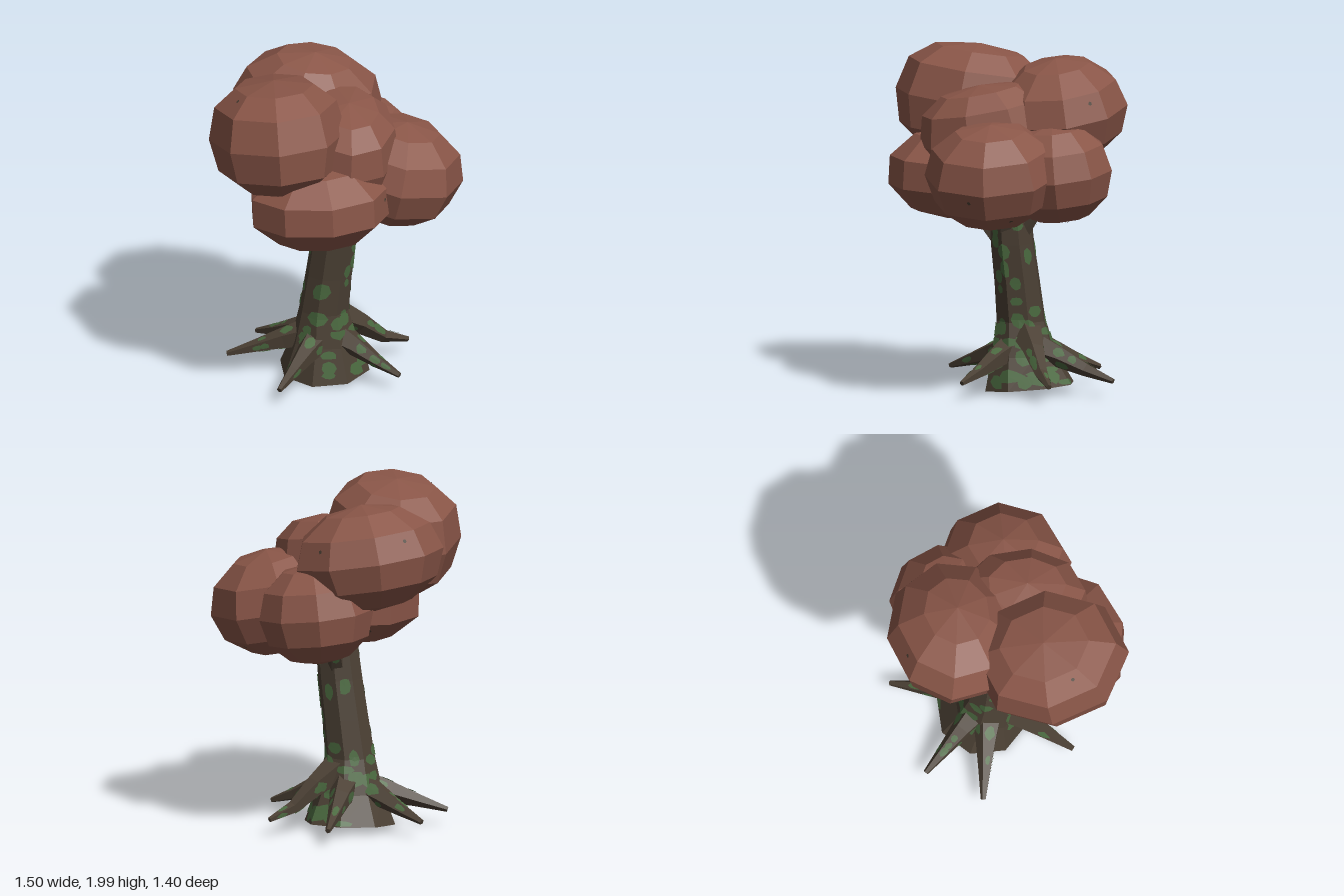
import * as THREE from 'three';
import { mergeGeometries } from 'three/addons/utils/BufferGeometryUtils.js';

const V = (x, y, z) => new THREE.Vector3(x, y, z);
const UP = V(0, 1, 0);

// Small seeded generator for moss and specks
let seed = 7;
const rand = () => {
  seed = (seed * 16807) % 2147483647;
  return seed / 2147483647;
};

function fromTriangles(points) {
  const g = new THREE.BufferGeometry().setFromPoints(points);
  g.computeVertexNormals(); // unshared corners give flat facets
  return g;
}

// Faceted open-ended tube from rings {c: centre, r: radius, d: axis}, with a surface lookup for moss
function loft(rings, sides, tilt = null) {
  const grid = rings.map(({ c, r, d }, j) => {
    const u = d.y > 0.999 ? V(0, 0, 1) : new THREE.Vector3().crossVectors(UP, d).normalize();
    const v = new THREE.Vector3().crossVectors(d, u);
    return Array.from({ length: sides }, (_, i) => {
      const a = ((i + 0.5) / sides) * Math.PI * 2;
      const p = c.clone().addScaledVector(u, r * Math.cos(a)).addScaledVector(v, r * Math.sin(a));
      if (tilt && j === 0) p.y += tilt(p.x - c.x, p.z - c.z);
      return p;
    });
  });
  const tris = [];
  const last = rings.length - 1;
  for (let i = 0; i < sides; i++) {
    const k = (i + 1) % sides;
    for (let j = 0; j < last; j++) {
      const a = grid[j][i], b = grid[j][k], c = grid[j + 1][k], d = grid[j + 1][i];
      tris.push(a, b, c, a, c, d);
    }
    tris.push(rings[last].c, grid[last][i], grid[last][k]);
  }
  // Point on the facets at side s and ring t, lifted off the surface
  const at = (s, t, lift) => {
    const j = Math.min(Math.max(Math.floor(t), 0), last - 1), f = t - j;
    const i = Math.floor(s), e = s - i;
    const pick = (row) => row[((i % sides) + sides) % sides].clone()
      .lerp(row[(((i + 1) % sides) + sides) % sides], e);
    const p = pick(grid[j]).lerp(pick(grid[j + 1]), f);
    const axis = rings[j].c.clone().lerp(rings[j + 1].c, f);
    return p.addScaledVector(p.clone().sub(axis).normalize(), lift);
  };
  return { geometry: fromTriangles(tris), at };
}

// Irregular thin moss patch on a loft, showing on both faces of the bark
function mossPatch(at, s, t, w, h) {
  const n = 8, tris = [];
  const rim = Array.from({ length: n }, (_, i) => {
    const a = (i / n) * Math.PI * 2, k = 0.65 + 0.35 * rand();
    return [s + Math.cos(a) * w * k, t + (i % 4 === 0 ? 0 : Math.sin(a)) * h * k];
  });
  for (const lift of [0.005, -0.004]) {
    const mid = at(s, t, lift), edge = rim.map(([a, b]) => at(a, b, lift));
    edge.forEach((p, i) => tris.push(mid, p, edge[(i + 1) % n]));
  }
  return fromTriangles(tris);
}

// Limb along a few points, tapering through the given radii
function limb(points, radii, sides) {
  return loft(points.map((c, i) => {
    const a = points[Math.max(i - 1, 0)], b = points[Math.min(i + 1, points.length - 1)];
    return { c, r: radii[i], d: b.clone().sub(a).normalize() };
  }), sides);
}

// Many-sided clump of leaves; a lower power gives squarer shoulders
function clump(sides, rows, power, r, tiltX, tiltZ, turn) {
  const bend = (v) => Math.sign(v) * Math.abs(v) ** power;
  const profile = Array.from({ length: rows + 1 }, (_, i) => {
    const a = (i / rows - 0.5) * Math.PI;
    return new THREE.Vector2(Math.max(bend(Math.cos(a)), 0.001), bend(Math.sin(a)));
  });
  const g = new THREE.LatheGeometry(profile, sides).toNonIndexed();
  g.rotateY(turn).scale(...r).rotateX(tiltX).rotateZ(tiltZ);
  g.computeVertexNormals();
  return g;
}

// Tiny flat speck on a random facet of a clump
function speck(g) {
  const p = g.attributes.position, k = Math.floor(rand() * (p.count / 3)) * 3;
  const tri = new THREE.Triangle().setFromAttributeAndIndices(p, k, k + 1, k + 2);
  const normal = tri.getNormal(V(0, 0, 0));
  const centre = tri.getMidpoint(V(0, 0, 0)).addScaledVector(normal, 0.004);
  const turn = new THREE.Quaternion().setFromUnitVectors(V(0, 0, 1), normal);
  return new THREE.CircleGeometry(0.012, 6).applyQuaternion(turn).translate(...centre);
}

export function createModel() {
  const material = (name, color, side = THREE.FrontSide) => {
    const m = new THREE.MeshStandardMaterial({ color, side });
    m.name = name;
    return m;
  };
  const leafMat = material('russet leaves', 0x8a5648);
  const barkMat = material('brown bark', 0x4b4034, THREE.DoubleSide);
  const mossMat = material('green moss', 0x4a693f, THREE.DoubleSide);

  const tree = new THREE.Group();
  tree.name = 'tree';
  const add = (name, geometry, mat) => {
    const m = new THREE.Mesh(geometry, mat);
    m.name = name;
    tree.add(m);
    return m;
  };

  // Trunk: leaning eight-sided column, hollow and flared at the foot; rows are y, x, z, radius
  const trunk = loft([
    [0.03, -0.035, -0.13, 0.27],
    [0.22, -0.04, -0.1, 0.195],
    [0.42, -0.045, -0.08, 0.148],
    [0.65, -0.02, -0.06, 0.138],
    [0.88, 0.005, -0.035, 0.132],
    [1.1, 0.025, -0.02, 0.125],
    [1.35, 0.04, 0, 0.09],
  ].map(([y, x, z, r]) => ({ c: V(x, y, z), r, d: UP })), 8, (x, z) => x * 0.04 - z * 0.09);
  add('trunk', trunk.geometry, barkMat);

  // Moss on the trunk, thickest low down and on the front left side
  const moss = [];
  for (let i = 0; i < 60; i++) {
    const onEdge = rand() < 0.4;
    const side = (i % 3 ? Math.floor(rand() * 8) : Math.floor(rand() * 3)) + (onEdge ? 0 : 0.5);
    const w = onEdge ? 0.35 + rand() * 0.3 : 0.25 + rand() * 0.22;
    const h = 0.12 + rand() * 0.17;
    const t = h + (i < 32 ? rand() * 1.7 : 1.7 + rand() * 2.9);
    moss.push(mossPatch(trunk.at, side, t, w, h));
  }

  // Roots: tip x, tip z, height where they leave the trunk
  [
    [-0.6, -0.2, 0.25],
    [-0.36, 0.36, 0.25],
    [0.36, 0.23, 0.27],
    [0.47, -0.29, 0.36],
    [0.19, -0.64, 0.27],
    [-0.39, -0.51, 0.26],
  ].forEach(([x, z, y]) => {
    const start = V(-0.04, y, -0.09), tip = V(x, 0.1, z);
    const along = (f, h) => start.clone().lerp(tip, f).setY(h);
    const root = limb([along(0.12, y), along(0.42, y * 0.55 + 0.07), along(0.7, 0.155), tip],
      [0.1, 0.065, 0.04, 0.016], 5);
    add('root', root.geometry, barkMat);
    for (let i = 0; i < 9; i++) {
      moss.push(mossPatch(root.at, Math.floor(rand() * 5) + 0.5, 0.6 + rand() * 2,
        0.3 + rand() * 0.18, 0.15 + rand() * 0.15));
    }
  });

  // Branches reaching into the crown
  [
    [V(0.03, 0.9, -0.06), V(0.07, 1.1, -0.19), V(0.14, 1.3, -0.33)],
    [V(-0.03, 0.88, 0.03), V(-0.05, 1.02, 0.15), V(-0.08, 1.25, 0.3)],
    [V(0.06, 0.92, -0.01), V(0.15, 1.1, 0.01), V(0.35, 1.3, 0.04)],
  ].forEach((path) => {
    const b = limb(path, [0.06, 0.045, 0.018], 5);
    add('branch', b.geometry, barkMat);
    for (const s of [0.5, 3.5]) moss.push(mossPatch(b.at, s, 0.5 + rand() * 0.7, 0.45, 0.25));
  });
  add('moss', mergeGeometries(moss), mossMat);

  // Crown: name, centre, sides, rows, power, radii, tilt about x and z, turn
  const specks = [];
  [
    ['upperRightClump', [-0.355, 1.665, 0.23], 8, 6, 0.8, [0.4, 0.335, 0.46], -0.14, 0.05, -0.1],
    ['upperBackClump', [-0.11, 1.645, -0.31], 9, 6, 1, [0.445, 0.315, 0.39], 0.1, -0.12, 0.35],
    ['leftClump', [0.365, 1.33, 0.05], 8, 6, 0.95, [0.395, 0.31, 0.4], 0.03, -0.2, -0.05],
    ['frontClump', [-0.125, 1.27, 0.335], 9, 5, 1, [0.435, 0.27, 0.38], -0.05, 0.03, 0.1],
    ['lowerBackClump', [0.2, 1.325, -0.31], 9, 6, 0.95, [0.34, 0.3, 0.33], 0.08, -0.08, 0.23],
    ['middleClump', [0.06, 1.52, 0.1], 9, 6, 0.8, [0.31, 0.3, 0.41], 0.18, -0.04, -0.05],
  ].forEach(([name, centre, ...shape]) => {
    const g = clump(...shape);
    add(name, g, leafMat).position.set(...centre);
    for (let i = 0; i < 4; i++) specks.push(speck(g).translate(...centre));
  });
  add('leafSpecks', mergeGeometries(specks), barkMat);

  return tree;
}
